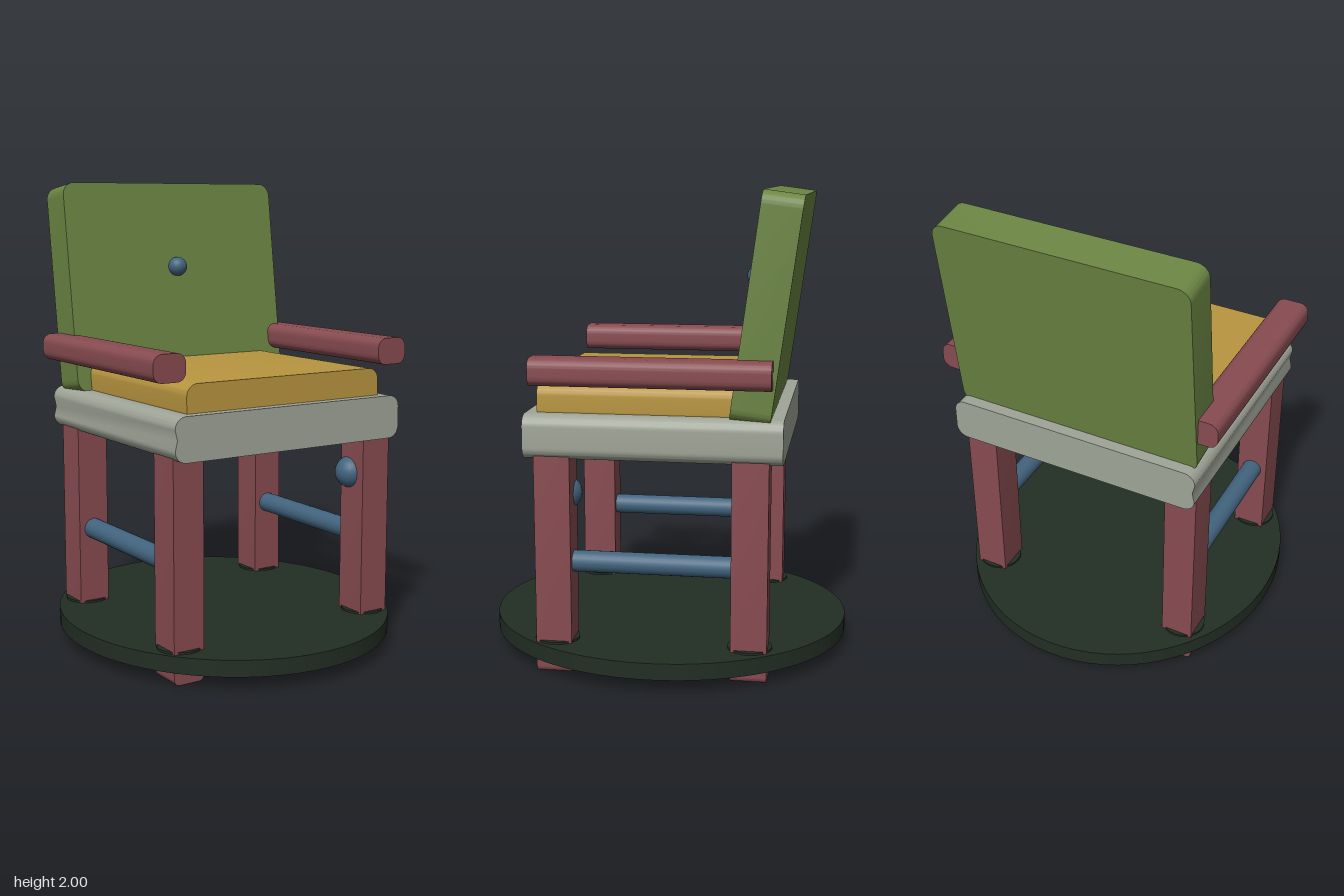
import * as THREE from 'three';
import { toCreasedNormals } from 'three/addons/utils/BufferGeometryUtils.js';

const material = (name, color) => {
  const m = new THREE.MeshStandardMaterial({ color });
  m.name = name;
  return m;
};

// Rounded rectangle outline, w by h; notch pinches the -x edge inward
function outline(w, h, r, notch = 0) {
  const x = w / 2, y = h / 2, s = new THREE.Shape();
  s.moveTo(-x + r, -y);
  s.lineTo(x - r, -y);
  s.absarc(x - r, -y + r, r, -Math.PI / 2, 0);
  s.lineTo(x, y - r);
  s.absarc(x - r, y - r, r, 0, Math.PI / 2);
  s.lineTo(-x + r, y);
  s.absarc(-x + r, y - r, r, Math.PI / 2, Math.PI);
  if (notch) s.lineTo(-x + notch, 0);
  s.lineTo(-x, -y + r);
  s.absarc(-x + r, -y + r, r, Math.PI, Math.PI * 1.5);
  return s;
}

// Slab with rounded front outline, extruded along z and centred
function slab(w, h, d, r, notch) {
  const g = new THREE.ExtrudeGeometry(outline(w, h, r, notch), { depth: d, bevelEnabled: false, curveSegments: 6 });
  g.translate(0, 0, -d / 2);
  return toCreasedNormals(g, 0.6);
}

export function createModel() {
  const model = new THREE.Group();
  const green = material('back green', 0x6b8543);
  const mustard = material('cushion mustard', 0xb99640);
  const red = material('frame red', 0x884c51);
  const grey = material('seat grey', 0xa0a598);
  const blue = material('accent blue', 0x42647f);
  const dark = material('base dark green', 0x222e24);

  const add = (name, geometry, mat, x, y, z) => {
    const mesh = new THREE.Mesh(geometry, mat);
    mesh.name = name;
    mesh.position.set(x, y, z);
    model.add(mesh);
    return mesh;
  };

  // Seat, cushion and leaning back
  add('seat', slab(1.12, 0.184, 1.06, 0.05, 0.01), grey, 0, 1.005, 0);
  add('cushion', slab(0.96, 0.16, 0.825, 0.05), mustard, 0, 1.135, 0.0725);
  add('backrest', slab(1.09, 0.918, 0.165, 0.055), green, 0, 1.534, -0.454).rotation.x = -0.135;
  add('backKnob', new THREE.SphereGeometry(0.043, 24, 16), blue, 0, 1.625, -0.372);

  // Oval base plate
  add('basePlate', new THREE.CylinderGeometry(1, 1, 0.07, 72), dark, 0, 0.095, 0).scale.set(0.715, 1, 0.78);

  // Armrests, legs, collars and side rails
  const armGeo = slab(0.147, 0.114, 0.97, 0.04);
  const legGeo = slab(0.14, 0.96, 0.15, 0.025);
  const collarGeo = new THREE.CylinderGeometry(0.093, 0.093, 0.084, 24);
  const railGeo = new THREE.CylinderGeometry(0.045, 0.045, 0.7, 24);
  for (const side of [1, -1]) {
    const label = side > 0 ? 'left' : 'right';
    add(label + 'Armrest', armGeo, red, side * 0.556, 1.282, 0);
    add(label + 'Rail', railGeo, blue, side * 0.475, 0.47, 0.008).rotation.x = Math.PI / 2;
    for (const [end, z] of [['Front', 0.413], ['Back', -0.4]]) {
      add(label + end + 'Leg', legGeo, red, side * 0.475, 0.48, z);
      add(label + end + 'Collar', collarGeo, dark, side * 0.475, 0.097, z);
    }
  }

  // Round knob set in the left front leg
  add('legKnob', new THREE.SphereGeometry(0.07, 24, 16), blue, 0.424, 0.75, 0.382);

  return model;
}
